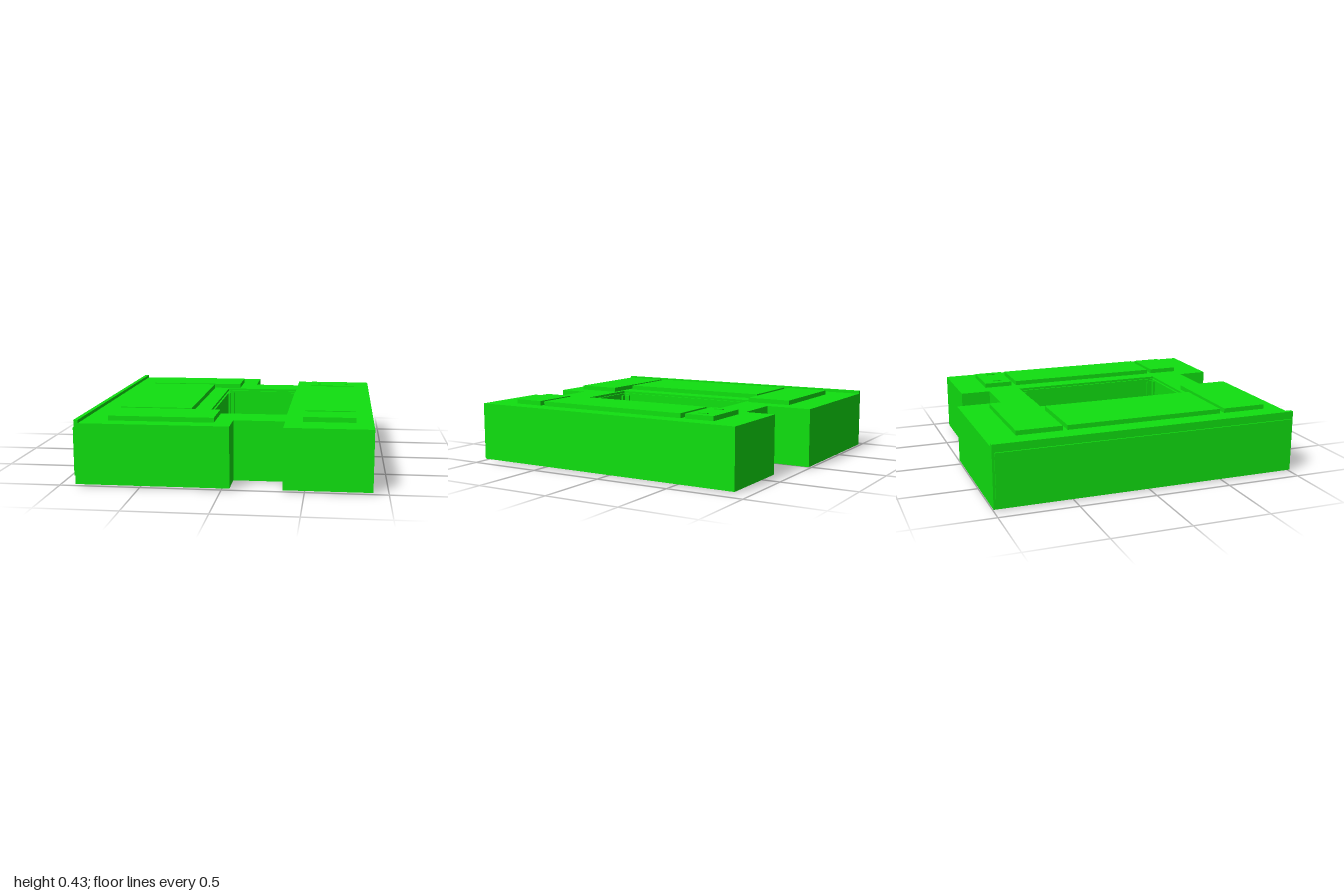
import * as THREE from 'three';

const material = new THREE.MeshStandardMaterial({ color: 0x10e010, flatShading: true });

// Box given by its extents on each axis
function block(name, [x0, x1], [y0, y1], [z0, z1]) {
  const mesh = new THREE.Mesh(new THREE.BoxGeometry(x1 - x0, y1 - y0, z1 - z0), material);
  mesh.name = name;
  mesh.position.set((x0 + x1) / 2, (y0 + y1) / 2, (z0 + z1) / 2);
  return mesh;
}

// Plan points are [x, z]; the extrusion rises along y
const plan = (points) => points.map(([x, z]) => new THREE.Vector2(x, -z));
const rectangle = (x0, x1, z0, z1) => plan([[x0, z0], [x1, z0], [x1, z1], [x0, z1]]);

function slab(name, outline, hole, y0, y1) {
  const shape = new THREE.Shape(outline);
  shape.holes.push(new THREE.Path(hole));
  const geometry = new THREE.ExtrudeGeometry(shape, { depth: y1 - y0, bevelEnabled: false });
  geometry.rotateX(-Math.PI / 2).translate(0, y0, 0);
  const mesh = new THREE.Mesh(geometry, material);
  mesh.name = name;
  return mesh;
}

export function createModel() {
  const model = new THREE.Group();
  model.name = 'courtyardBuilding';

  // Main block: two wings joined around an open court
  const outline = plan([
    [-0.9, 1], [0.05, 1], [0.05, 0.8], [0.37, 0.8], [0.37, 1], [0.907, 1],
    [0.907, -0.9], [0.37, -0.9], [0.37, -0.7], [0.05, -0.7], [0.05, -1], [-0.9, -1],
  ]);
  const court = rectangle(-0.14, 0.37, -0.48, 0.57);
  model.add(slab('mainBlock', outline, court, 0.01, 0.39));

  // Court lining: lower and upper frames with corner posts
  const lining = new THREE.Group();
  lining.name = 'courtLining';
  const inner = rectangle(-0.128, 0.36, -0.466, 0.556);
  lining.add(slab('lowerFrame', court, inner, 0.002, 0.03));
  lining.add(slab('upperFrame', court, inner, 0.36, 0.375));
  for (const x of [[-0.14, -0.128], [0.36, 0.37]])
    for (const z of [[-0.48, -0.43], [0.52, 0.57]]) lining.add(block('cornerPost', x, [0.03, 0.36], z));
  for (const x of [[-0.14, -0.1], [0.33, 0.37]])
    for (const z of [[-0.48, -0.466], [0.556, 0.57]]) lining.add(block('cornerPost', x, [0.03, 0.36], z));
  lining.add(slab('floorRim', rectangle(-0.128, 0.36, -0.466, 0.556),
    rectangle(-0.126, 0.358, -0.464, 0.554), 0, 0.03));
  model.add(lining);

  // Raised roof panels
  const wide = [-0.715, -0.058], middle = [-0.715, -0.248], narrow = [0.478, 0.8];
  const panels = [
    [wide, [-0.805, -0.508]], [middle, [-0.477, 0.567]], [wide, [0.598, 0.89]],
    [narrow, [-0.703, -0.508]], [narrow, [-0.477, 0.567]], [narrow, [0.598, 0.797]],
  ];
  for (const [x, z] of panels) model.add(block('roofPanel', x, [0.385, 0.42], z));

  // Small fittings on one roof panel
  for (const x of [0.54, 0.74])
    model.add(block('roofFitting', [x - 0.01, x + 0.01], [0.418, 0.425], [-0.63, -0.57]));

  // Parapet and raised panel along the long side
  model.add(block('parapet', [-0.9, -0.873], [0.385, 0.41], [-1, 1]));
  model.add(block('sidePanel', [-0.91, -0.895], [0.06, 0.36], [-0.985, 0.985]));

  return model;
}
